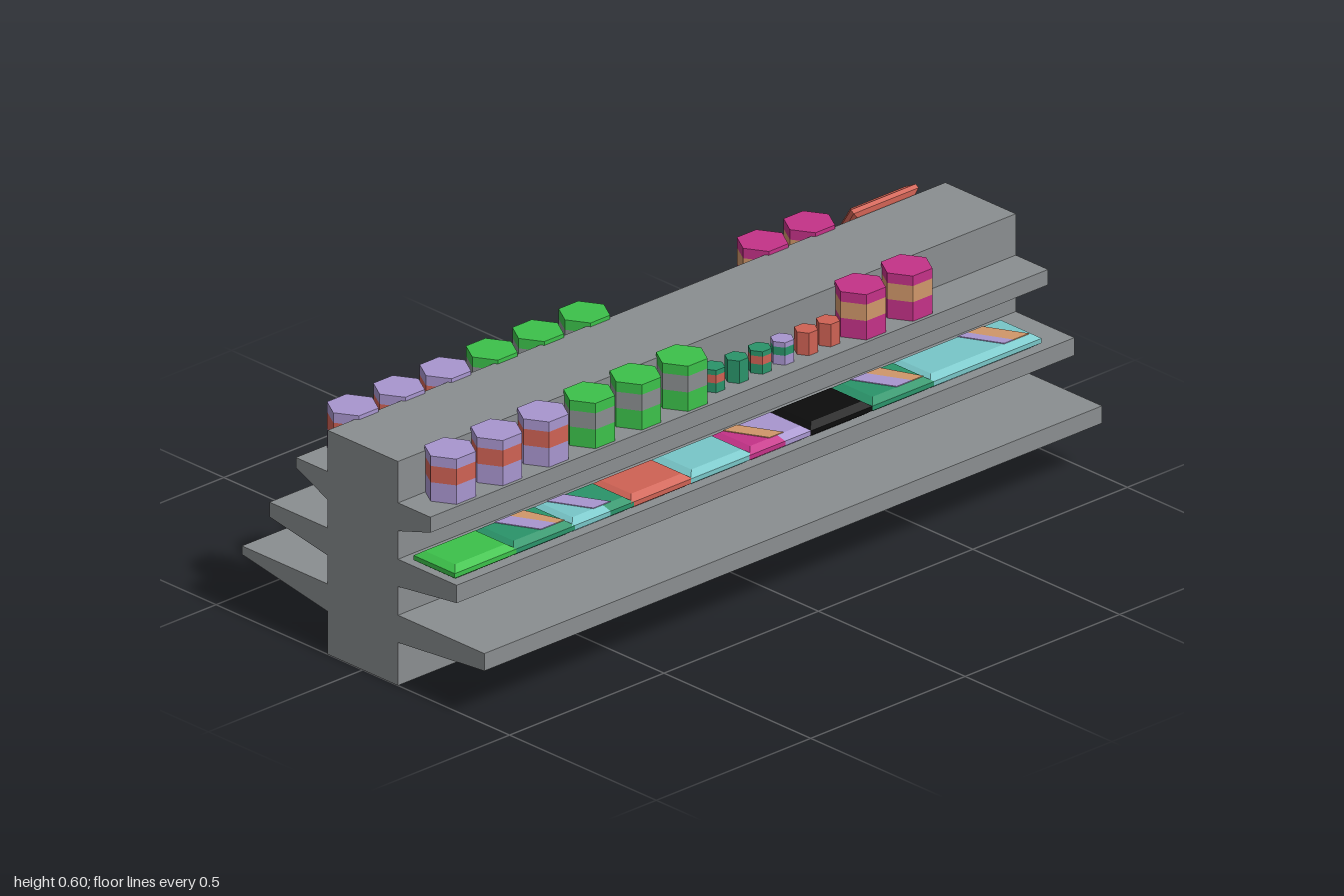
import * as THREE from 'three';

const mat = (name, color) => {
  const m = new THREE.MeshStandardMaterial({ color });
  m.name = name;
  return m;
};

export function createModel() {
  const gray = mat('shelf gray', 0x8a8e90), green = mat('bright green', 0x3cc14a),
    lavender = mat('lavender', 0xa896cf), coral = mat('coral', 0xcf6254),
    teal = mat('light teal', 0x78c6c8), dark = mat('dark green', 0x2a946a),
    pink = mat('pink', 0xc43288), orange = mat('tan orange', 0xd0976a),
    black = mat('black', 0x0c0c0c);

  const model = new THREE.Group();
  model.name = 'storeShelf';

  const add = (geo, material, name, parent = model) => {
    const g = geo.index ? geo.toNonIndexed() : geo;
    g.computeVertexNormals();
    const mesh = new THREE.Mesh(g, material);
    mesh.name = name;
    parent.add(mesh);
    return mesh;
  };

  // Shelf unit: one double-sided profile in (z, y), extruded along x
  const tiers = [ // inner bottom, top, front reach, front lip, back reach, back lip
    [0.111, 0.182, 0.414, 0.137, 0.412, 0.16],
    [0.256, 0.327, 0.32, 0.281, 0.318, 0.289],
    [0.40, 0.473, 0.23, 0.433, 0.228, 0.447],
  ];
  const core = 0.12;
  const front = [[core, 0]], back = [[-core, 0]];
  for (const [inner, top, fz, fy, bz, by] of tiers) {
    front.push([core, inner], [fz, fy], [fz, top], [core, top]);
    back.push([-core, inner], [-bz, by], [-bz, top], [-core, top]);
  }
  front.push([core, 0.58]);
  back.push([-core, 0.58]);
  const outline = [...front, ...back.reverse()].map(([z, y]) => new THREE.Vector2(-z, y));
  const shelf = new THREE.ExtrudeGeometry(new THREE.Shape(outline), { depth: 2, bevelEnabled: false });
  shelf.translate(0, 0, -1).rotateY(Math.PI / 2);
  add(shelf, gray, 'shelfUnit');

  // Six-sided can made of a base, a label band and a top
  const can = (x, z, r, h, body, band) => {
    const group = new THREE.Group();
    group.name = 'can';
    group.position.set(x, 0.473, z);
    const cuts = [0, 0.42, 0.78, 1];
    for (let i = 0; i < 3; i++) {
      const y0 = cuts[i] * h, y1 = cuts[i + 1] * h;
      const g = new THREE.CylinderGeometry(r, r, y1 - y0, 6);
      g.rotateY(Math.PI / 6).translate(0, (y0 + y1) / 2, 0);
      add(g, i === 1 ? band : body, ['canBase', 'canLabel', 'canTop'][i], group);
    }
    model.add(group);
  };
  for (const z of [0.166, -0.166]) {
    for (let i = 0; i < 3; i++) {
      can(-0.875 + i * 0.15, z, 0.063, 0.117, lavender, coral);
      can(-0.425 + i * 0.15, z, 0.063, 0.117, green, gray);
      can(-0.023 + i * 0.075, z, 0.029, 0.058, dark, i === 1 ? dark : coral);
    }
    can(0.2, z, 0.029, 0.058, lavender, dark);
    can(0.277, z, 0.029, 0.058, coral, coral);
    can(0.348, z, 0.029, 0.058, coral, coral);
    can(0.452, z, 0.063, 0.117, pink, orange);
    can(0.603, z, 0.063, 0.117, pink, orange);
  }

  // Stack of four-cornered rings [y, inset]; a and b are slanted cuts across x
  const prism = (rings, w, d, a, b, slope) => {
    const pos = [], idx = [];
    for (const [y, inset] of rings) {
      const hx = w / 2 - inset, hz = d / 2 - inset;
      const cut = (c, z) => Math.max(-hx, Math.min(hx, c + slope * z));
      pos.push(cut(a, -hz), y, -hz, cut(a, hz), y, hz, cut(b, hz), y, hz, cut(b, -hz), y, -hz);
    }
    const last = (rings.length - 1) * 4;
    idx.push(0, 2, 1, 0, 3, 2, last, last + 1, last + 2, last, last + 2, last + 3);
    for (let k = 0; k < last; k += 4) {
      for (let i = 0; i < 4; i++) {
        const p = k + i, q = k + (i + 1) % 4;
        idx.push(p, q, q + 4, p, q + 4, p + 4);
      }
    }
    const g = new THREE.BufferGeometry();
    g.setAttribute('position', new THREE.Float32BufferAttribute(pos, 3));
    g.setIndex(idx);
    return g;
  };

  // Bevelled pack: body colour, optional second body colour, printed stripes on top
  const bevel = 0.018;
  const body = [[-0.0185, bevel], [-0.006, 0], [0.006, 0], [0.0185, bevel]];
  const plate = [[0.0185, bevel], [0.0205, bevel]];
  const pack = (x, z, w, d, slope, color, second, cut, stripes = []) => {
    const group = new THREE.Group();
    group.name = 'pack';
    group.position.set(x, 0.3455, z);
    add(prism(body, w, d, -9, second ? cut : 9, slope), color, 'packBody', group);
    if (second) add(prism(body, w, d, cut, 9, slope), second, 'packSecondHalf', group);
    for (const [m, from, to] of stripes) add(prism(plate, w, d, from, to, slope), m, 'packStripe', group);
    model.add(group);
    return group;
  };

  // Front row of packs
  const frontRow = [
    [-0.895, green], [-0.705, dark, null, 0, [[lavender, -0.02, 0.03], [orange, 0.03, 0.075]]],
    [-0.515, teal, dark, -0.01, [[lavender, -0.04, 0.015]]],
    [-0.325, coral], [-0.13, teal],
    [0.06, pink, lavender, -0.02, [[orange, -0.045, 0]]],
    [0.257, black], [0.457, dark, null, 0, [[lavender, -0.03, 0.02], [orange, 0.02, 0.065]]],
    [0.645, teal], [0.805, teal, null, 0, [[lavender, -0.03, 0], [orange, 0, 0.05]]],
  ];
  for (const [x, ...rest] of frontRow) pack(x, 0.238, 0.2, 0.14, 0.5, ...rest);

  // Back row of packs
  const backRow = [
    [-0.727, green], [-0.538, dark, null, 0, [[lavender, 0.02, 9]]],
    [-0.372, dark, null, 0, [[orange, -0.06, -0.03], [lavender, -0.03, 0]]],
    [-0.187, coral], [-0.011, teal],
    [0.155, lavender, null, 0, [[pink, -0.06, -0.03], [orange, 0, 0.04]]],
    [0.512, dark, null, 0, [[lavender, -0.01, 0.02], [teal, 0.02, 9]]],
    [0.69, teal], [0.875, teal, null, 0, [[lavender, -0.02, 0.01], [orange, 0.01, 0.04]]],
  ];
  for (const [x, ...rest] of backRow) pack(x, -0.221, 0.145, 0.204, -0.6, ...rest);
  pack(0.33, -0.221, 0.145, 0.204, 0, gray, black, 0.006);

  // Pack leaning against the back of the top tier
  const leaning = pack(0.815, -0.171, 0.21, 0.145, 0, coral);
  leaning.name = 'leaningPack';
  leaning.position.y = 0.532;
  leaning.rotation.x = -1.0;

  return model;
}
